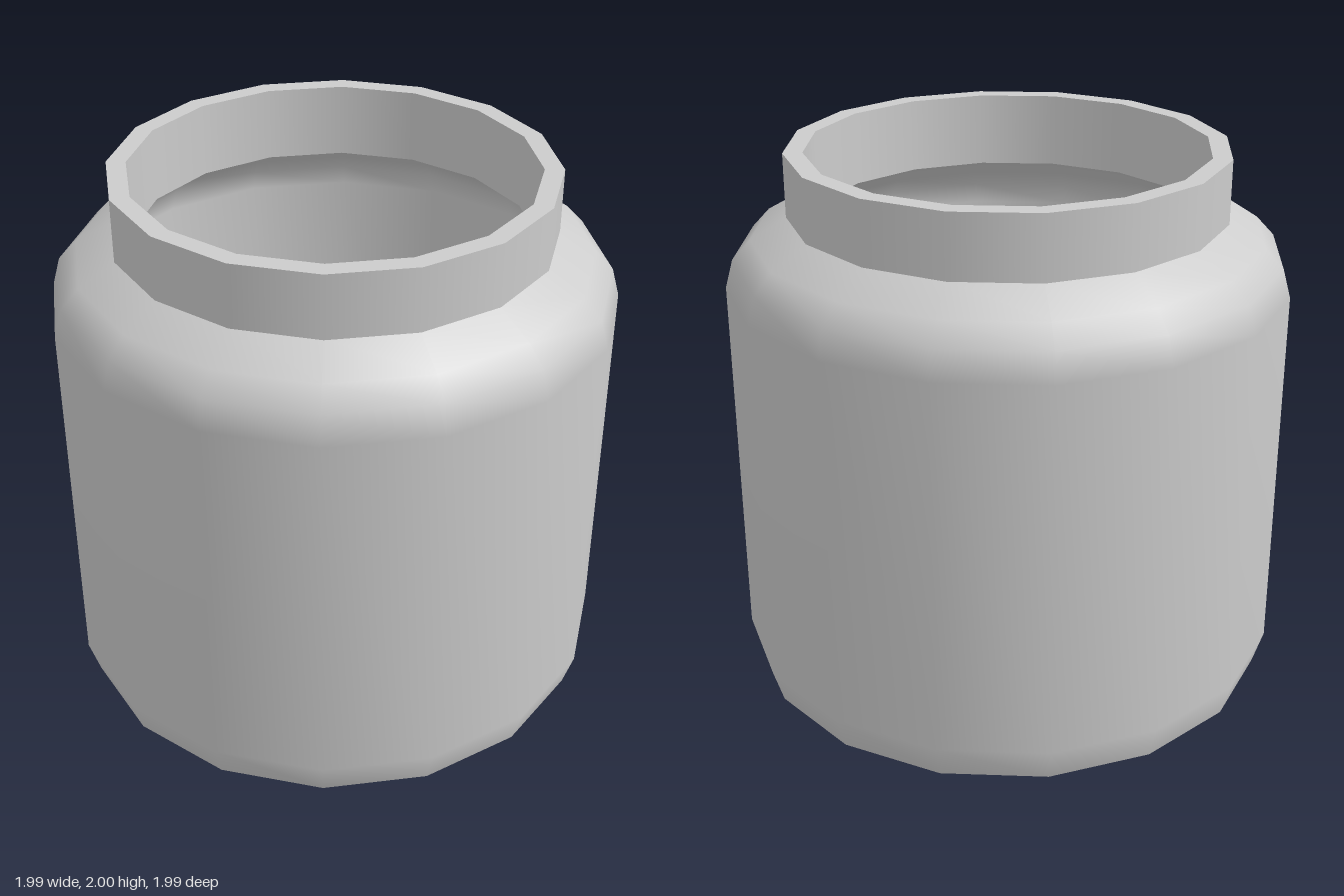
import * as THREE from 'three';

const SIDES = 16;

export function createModel() {
  const jar = new THREE.Group();
  jar.name = 'jar';
  const grey = new THREE.MeshStandardMaterial({ color: 0xcccccc });
  grey.name = 'plain grey';

  // Each band is smooth in itself; separate bands meet at a sharp edge.
  // Profiles run upwards for outward faces and downwards for inward faces.
  const band = (name, profile) => {
    const points = profile.map(([r, y]) => new THREE.Vector2(r, y));
    const mesh = new THREE.Mesh(new THREE.LatheGeometry(points, SIDES), grey);
    mesh.name = name;
    jar.add(mesh);
  };

  // Outside
  band('base', [[0, 0], [0.86, 0], [0.955, 0.055]]);
  band('body', [
    [0.955, 0.055], [0.993, 0.18], [0.993, 1.53],
    [0.965, 1.63], [0.9, 1.7], [0.772, 1.775],
  ]);
  band('neck', [[0.772, 1.775], [0.772, 2]]);
  band('rim', [[0.772, 2], [0.704, 2]]);

  // Hollow inside
  band('innerNeck', [[0.704, 2], [0.704, 1.735]]);
  band('innerWall', [
    [0.704, 1.735], [0.85, 1.65], [0.9, 1.59], [0.925, 1.51],
    [0.925, 0.19], [0.89, 0.1], [0.82, 0.07], [0, 0.07],
  ]);

  return jar;
}
